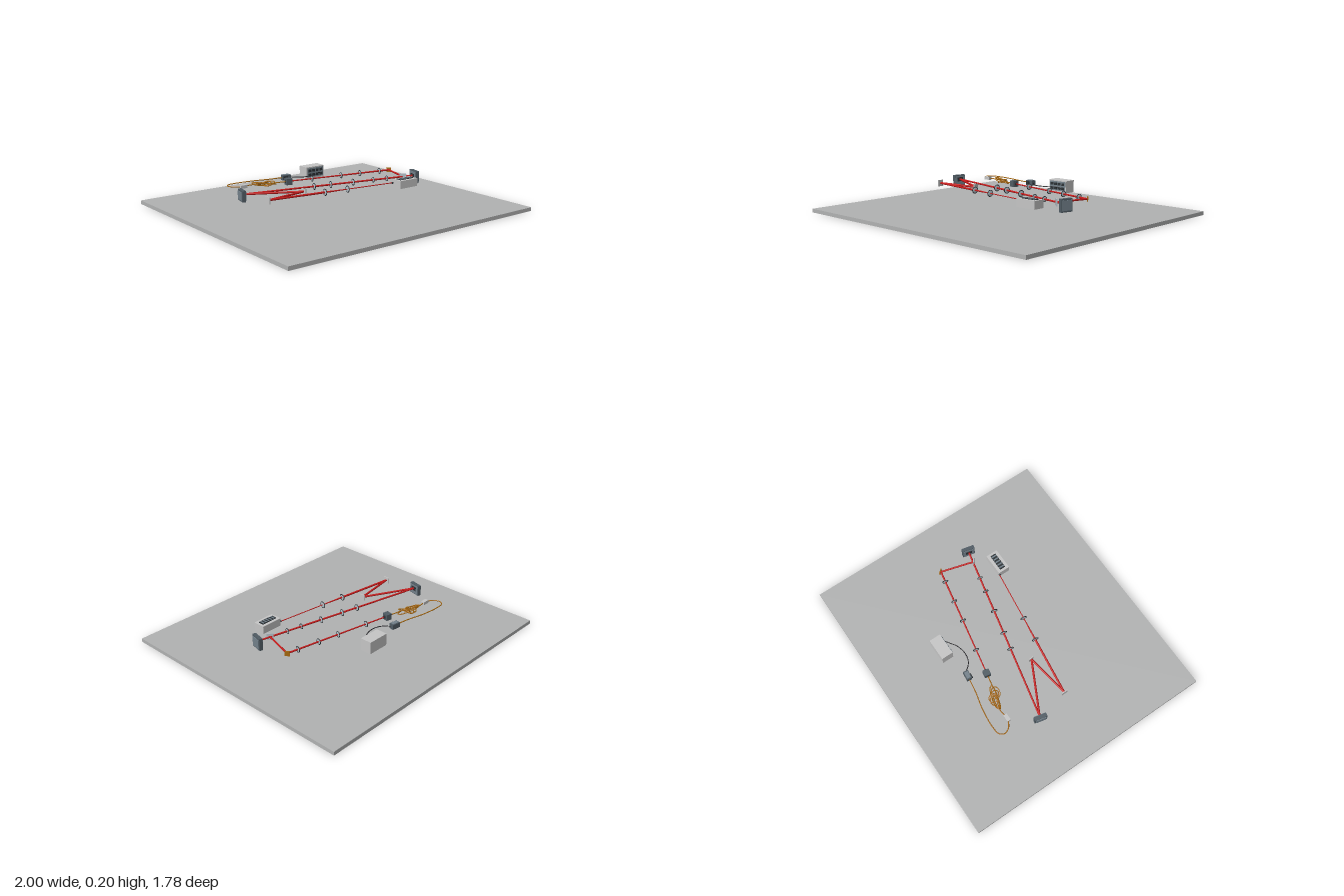
import * as THREE from 'three';

const mat = (name, color) => {
  const m = new THREE.MeshStandardMaterial({ color });
  m.name = name;
  return m;
};
const M = {
  table: mat('tableGrey', 0xb2b3b3),
  casing: mat('casingGrey', 0xc6c6c6),
  slate: mat('slate', 0x505c64),
  panel: mat('panelSlate', 0x74828c),
  dark: mat('darkMetal', 0x2c3236),
  beam: mat('beamRed', 0xc41a1a),
  fibre: mat('fibreOrange', 0xa8690f),
  glass: mat('glass', 0xb4c0c8),
  cable: mat('cableBlack', 0x242428),
};
const Y = 0.16; // height of the optical axis
const UP = new THREE.Vector3(0, 1, 0);

export function createModel() {
  const root = new THREE.Group();
  root.name = 'opticalBench';

  const add = (name, geo, material, x = 0, y = 0, z = 0, parent = root) => {
    const mesh = new THREE.Mesh(geo, material);
    mesh.name = name;
    mesh.position.set(x, y, z);
    parent.add(mesh);
    return mesh;
  };
  const box = (name, w, h, d, material, x, y, z, parent) =>
    add(name, new THREE.BoxGeometry(w, h, d), material, x, y, z, parent);
  // group on the axis whose local +x points along (dx, dz)
  const mount = (name, x, z, dx = 1, dz = 0) => {
    const g = new THREE.Group();
    g.name = name;
    g.position.set(x, Y, z);
    g.rotation.y = -Math.atan2(dz, dx);
    root.add(g);
    return g;
  };

  box('table', 2, 0.026, 1.784, M.table, 0, 0.013, 0);

  // Laser beam, segment by segment
  const beam = (a, b, r0, r1 = r0) => {
    const p = new THREE.Vector3(a[0], Y, a[1]);
    const q = new THREE.Vector3(b[0], Y, b[1]);
    const d = q.clone().sub(p);
    const m = add('beam', new THREE.CylinderGeometry(r1, r0, d.length(), 16), M.beam);
    m.position.copy(p).add(q).multiplyScalar(0.5);
    m.quaternion.setFromUnitVectors(UP, d.normalize());
  };
  const source = [0.36, 0.204], lensA = [0, 0.157], lensB = [-0.17, 0.133];
  const mirrorA = [-0.58, 0.077], mirrorB = [-0.272, 0.031];
  const modA = [-0.62, -0.15], modB = [0.62, 0.124];
  const splitter = [0.543, 0.107], mirrorC = [0.607, -0.118], coupler = [-0.18, -0.27];
  const along = (a, b, t) => [a[0] + (b[0] - a[0]) * t, a[1] + (b[1] - a[1]) * t];
  beam(source, lensA, 0.003);
  beam(lensA, lensB, 0.003, 0.006);
  beam(lensB, mirrorA, 0.007);
  beam(mirrorA, mirrorB, 0.007);
  beam(mirrorB, modA, 0.007);
  beam(modA, modB, 0.006);
  beam(splitter, mirrorC, 0.006);
  beam(mirrorC, coupler, 0.006, 0.004);

  // Lenses: a dark ring around a glass disc
  const lens = ([x, z], dx, dz, r = 0.021) => {
    const g = mount('lens', x, z, dx, dz);
    const ring = add('lensRing', new THREE.TorusGeometry(r, 0.0028, 8, 32), M.dark, 0, 0, 0, g);
    ring.rotation.y = Math.PI / 2;
    const disc = add('lensGlass', new THREE.SphereGeometry(r, 24, 12), M.glass, 0, 0, 0, g);
    disc.scale.x = 0.17;
  };
  lens(lensA, 1, 0.13);
  lens(lensB, 1, 0.13);
  for (const x of [-0.13, -0.01, 0.157, 0.31, 0.415])
    lens(along(modA, modB, (x - modA[0]) / (modB[0] - modA[0])), 1, 0.221, x > 0.3 ? 0.017 : 0.021);
  for (const x of [-0.005, 0.22, 0.37, 0.528])
    lens(along(coupler, mirrorC, (x - coupler[0]) / (mirrorC[0] - coupler[0])), 1, 0.193, 0.019);

  // Flat mirrors and the beam splitter
  const mirror = (name, [x, z], dx, dz, size, material) => {
    const g = mount(name, x, z, dx, dz);
    box(name + 'Plate', 0.006, size, size, material, -0.004, 0, 0, g);
  };
  mirror('mirrorLower', mirrorA, 1, 0, 0.045, M.casing);
  mirror('mirrorUpper', mirrorB, -1, 0.1, 0.04, M.casing);
  mirror('foldMirror', mirrorC, -0.77, 0.64, 0.034, M.fibre);
  mirror('beamSplitter', splitter, 0.64, -0.77, 0.046, M.glass);

  // Light modulators: thick housing with an inset front screen, facing local +x
  const modulator = (name, [x, z], dx, dz, h) => {
    const g = mount(name, x, z, dx, dz);
    box('modulatorHousing', 0.025, h, 0.088, M.slate, -0.014, -0.006, 0, g);
    box('modulatorFront', 0.004, h - 0.012, 0.078, M.panel, 0, -0.006, 0, g);
    box('modulatorScreen', 0.002, 0.03, 0.045, M.dark, 0.002, 0, 0, g);
    box('modulatorBack', 0.006, h - 0.02, 0.07, M.panel, -0.028, -0.006, 0, g);
  };
  modulator('modulatorLeft', modA, 1, 0.221, 0.075);
  modulator('modulatorRight', modB, -1, -0.221, 0.086);

  // Laser source with a slotted vent on top
  const laser = mount('laser', 0.4375, 0.244);
  box('laserCase', 0.155, 0.055, 0.084, M.casing, 0, -0.002, 0, laser);
  box('laserVent', 0.12, 0.006, 0.04, M.dark, 0, 0.026, 0, laser);
  for (let i = 0; i < 5; i++)
    box('ventSlat', 0.01, 0.004, 0.036, M.panel, -0.046 + i * 0.023, 0.028, 0, laser);
  const nozzle = add('laserAperture', new THREE.CylinderGeometry(0.007, 0.007, 0.008, 16), M.dark, -0.08, 0, -0.038, laser);
  nozzle.rotation.z = Math.PI / 2;

  // Control unit with an instrument panel on its front
  const unit = mount('controlUnit', 0.132, -0.424);
  box('unitCase', 0.155, 0.085, 0.082, M.casing, 0, 0.002, 0, unit);
  box('unitPanel', 0.138, 0.066, 0.006, M.panel, 0, 0.004, 0.041, unit);
  for (let r = 0; r < 2; r++)
    for (let c = 0; c < 4; c++)
      box('unitButton', 0.024, 0.018, 0.004, M.dark, -0.05 + c * 0.033, 0.018 - r * 0.03, 0.0445, unit);
  const jack = add('unitSocket', new THREE.CylinderGeometry(0.006, 0.006, 0.012, 12), M.dark, 0.05, -0.012, 0.045, unit);
  jack.rotation.x = Math.PI / 2;

  // Fibre coupler at the end of the beam
  const cp = mount('fibreCoupler', coupler[0], coupler[1], 1, 0.19);
  box('couplerBody', 0.042, 0.044, 0.044, M.slate, -0.003, 0, 0, cp);
  for (const s of [-1, 1]) {
    const c = add('couplerBarrel', new THREE.CylinderGeometry(0.01, 0.01, 0.01, 16), M.dark, s * 0.021, 0, 0, cp);
    c.rotation.z = Math.PI / 2;
  }

  // Detector
  const det = mount('detector', -0.124, -0.385, 1, 0.12);
  box('detectorBody', 0.062, 0.036, 0.036, M.slate, 0, 0, 0, det);
  box('detectorLid', 0.046, 0.006, 0.026, M.panel, 0, 0.018, 0, det);
  box('detectorFoot', 0.03, 0.024, 0.01, M.dark, -0.012, 0, 0.021, det);

  // Fibre joint box
  box('fibreJoint', 0.05, 0.022, 0.026, M.casing, -0.51, Y, -0.333);

  // Fibres and cable, as [x, z] or [x, z, height offset]
  const line = (name, pts, r, material, segments = 64) => {
    const curve = new THREE.CatmullRomCurve3(pts.map(([x, z, h = 0]) => new THREE.Vector3(x, Y + h, z)));
    add(name, new THREE.TubeGeometry(curve, segments, r, 8), material);
  };
  line('fibreOuter', [
    [-0.155, -0.389], [-0.25, -0.404], [-0.37, -0.432], [-0.5, -0.445], [-0.565, -0.437],
    [-0.588, -0.405], [-0.573, -0.365], [-0.53, -0.335],
  ], 0.0035, M.fibre);
  line('fibreInner', [
    [-0.487, -0.336], [-0.44, -0.34], [-0.39, -0.325], [-0.33, -0.298], [-0.27, -0.288], [-0.2, -0.274],
  ], 0.0035, M.fibre);
  line('controlCable', [
    [-0.094, -0.38], [-0.07, -0.345], [-0.03, -0.319], [0.03, -0.312], [0.09, -0.328],
    [0.14, -0.36], [0.18, -0.382, -0.01],
  ], 0.003, M.cable);

  // Tangled fibre coil: tilted loops of different sizes
  const loops = [
    [-0.365, -0.335, 0.034, 0.024, 0.3], [-0.35, -0.33, 0.028, 0.03, 0.9],
    [-0.325, -0.295, 0.036, 0.026, 0.2], [-0.335, -0.31, 0.03, 0.022, 1.2],
    [-0.38, -0.325, 0.06, 0.015, 0.25], [-0.35, -0.32, 0.085, 0.02, 0.3],
  ];
  loops.forEach(([x, z, a, b, turn], k) => {
    const pts = [];
    for (let i = 0; i < 16; i++) {
      const t = (i / 16) * Math.PI * 2, u = a * Math.cos(t), v = b * Math.sin(t);
      pts.push(new THREE.Vector3(
        x + u * Math.cos(turn) - v * Math.sin(turn),
        Y + 0.012 * Math.sin(t + k),
        z + u * Math.sin(turn) + v * Math.cos(turn)));
    }
    add('fibreLoop', new THREE.TubeGeometry(new THREE.CatmullRomCurve3(pts, true), 48, 0.0035, 8, true), M.fibre);
  });

  return root;
}
